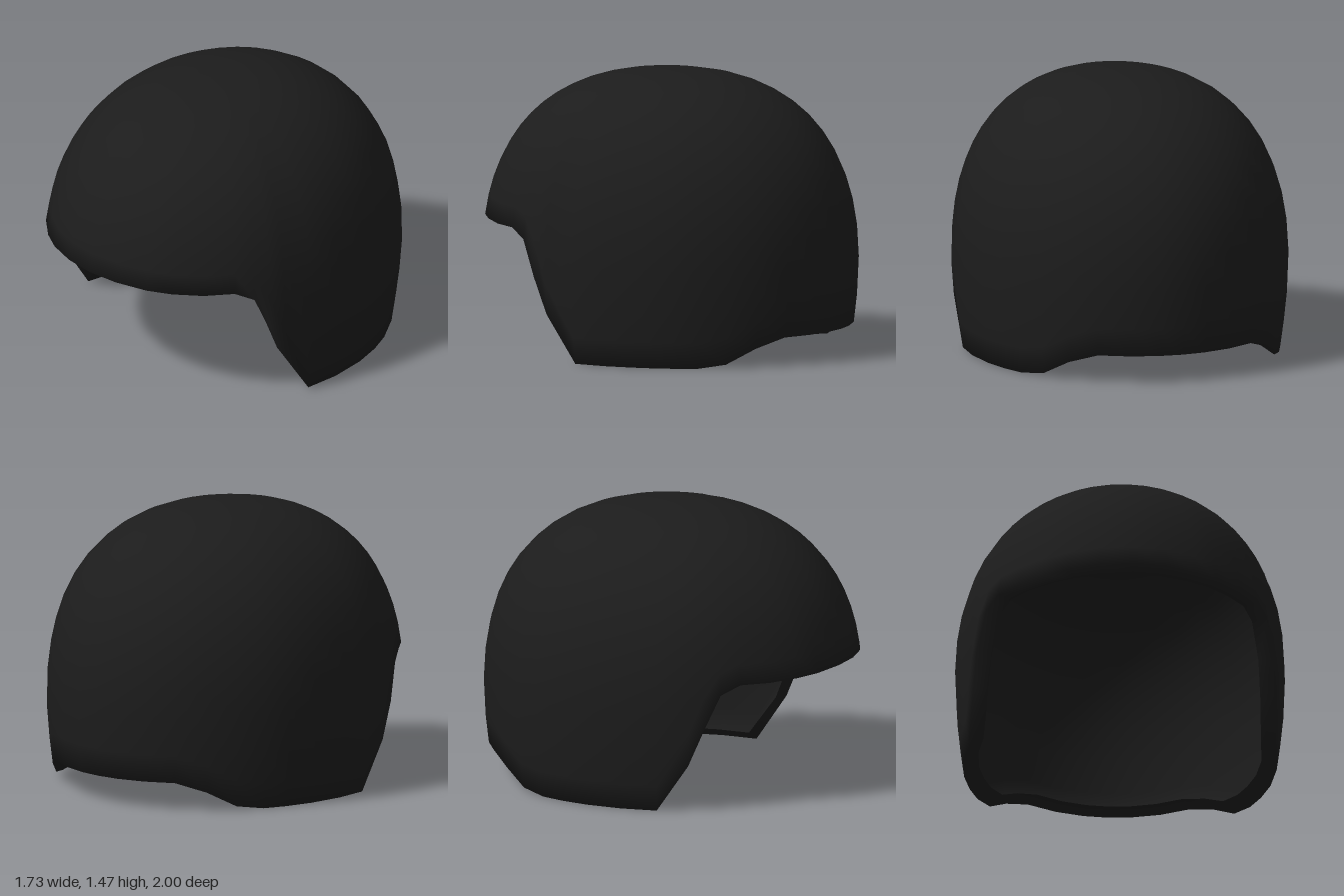
import * as THREE from 'three';

const POWER = 2.4;    // roundness of the dome profile
const WAIST = 0.45;   // height of the widest ring
const HEIGHT = 1.02;  // crown height above the waist
const LIP = 0.09;     // width of the turned-in rim
const ROWS = 14;

// Lower edge from brow to nape along one side: [z, y]
const RIM = [
  [1, 0.7], [0.98, 0.698], [0.92, 0.69], [0.85, 0.685], [0.74, 0.68], [0.61, 0.68],
  [0.52, 0.63], [0.44, 0.44], [0.36, 0.25], [0.19, 0], [0, 0], [-0.2, 0], [-0.35, 0],
  [-0.47, 0], [-0.6, 0.02], [-0.73, 0.1], [-0.84, 0.15], [-0.92, 0.15], [-0.962, 0.15],
  [-0.975, 0.15],
];

// Relative radius of the dome at height y
function radiusAt(y) {
  const u = (y - WAIST) / HEIGHT;
  if (u < 0) return 1 - 0.05 * Math.pow((WAIST - y) / WAIST, 1.5);
  return Math.pow(Math.max(0, 1 - Math.pow(u, POWER)), 1 / POWER);
}

const depth = (s) => (s > 0 ? 1.015 : 1);

// Columns around the whole rim: direction (c, s) and rim height
function makeColumns() {
  const last = RIM.length - 1;
  const half = RIM.map(([z, y], i) => {
    let s = z / (depth(z) * radiusAt(y));
    s = i === 0 ? 1 : i === last ? -1 : THREE.MathUtils.clamp(s, -0.995, 0.995);
    return { c: Math.sqrt(1 - s * s), s, y };
  });
  const mirrored = half.slice(1, last).reverse().map((k) => ({ ...k, c: -k.c }));
  return [...half, ...mirrored];
}

// Point on the shell, moved inward by inset
function shellPoint(col, y, inset) {
  const r = radiusAt(y);
  return [col.c * r * (0.865 - inset), y, col.s * r * (depth(col.s) - inset)];
}

// Height of the lip's inner edge: raised at the bottom, level at the brow
const lipHeight = (y) => Math.min(0.68, Math.max(y, 0.05 + y * 0.83));

// One column of points: lip edge, rim, then up to just below the crown
function columnPoints(col) {
  const u0 = (col.y - WAIST) / HEIGHT;
  const a0 = Math.asin(Math.sign(u0) * Math.pow(Math.abs(u0), POWER / 2));
  const points = [shellPoint(col, lipHeight(col.y), LIP)];
  for (let j = 0; j < ROWS; j++) {
    const sin = Math.sin(THREE.MathUtils.lerp(a0, Math.PI / 2, j / ROWS));
    const y = WAIST + HEIGHT * Math.sign(sin) * Math.pow(Math.abs(sin), 2 / POWER);
    points.push(shellPoint(col, y, 0));
  }
  return points;
}

// Smooth skin through a closed ring of columns, joined at the crown
function skin(columns, crownY) {
  const n = columns.length, rows = columns[0].length;
  const positions = columns.flat(2);
  positions.push(0, crownY, 0);
  const index = [];
  for (let i = 0; i < n; i++) {
    const a = i * rows, b = ((i + 1) % n) * rows;
    for (let j = 0; j < rows - 1; j++) {
      index.push(a + j, b + j, a + j + 1);
      index.push(b + j, b + j + 1, a + j + 1);
    }
    index.push(a + rows - 1, b + rows - 1, n * rows);
  }
  const geometry = new THREE.BufferGeometry();
  geometry.setAttribute('position', new THREE.Float32BufferAttribute(positions, 3));
  geometry.setIndex(index);
  geometry.computeVertexNormals();
  return geometry;
}

export function createModel() {
  const group = new THREE.Group();
  group.name = 'helmet';

  // Thin open shell, seen from outside and inside
  const black = new THREE.MeshStandardMaterial({ color: 0x1c1c1c, side: THREE.DoubleSide });
  black.name = 'charcoal black';

  // Dome with its rim turned inward
  const shell = new THREE.Mesh(skin(makeColumns().map(columnPoints), WAIST + HEIGHT), black);
  shell.name = 'helmetShell';
  group.add(shell);
  return group;
}
